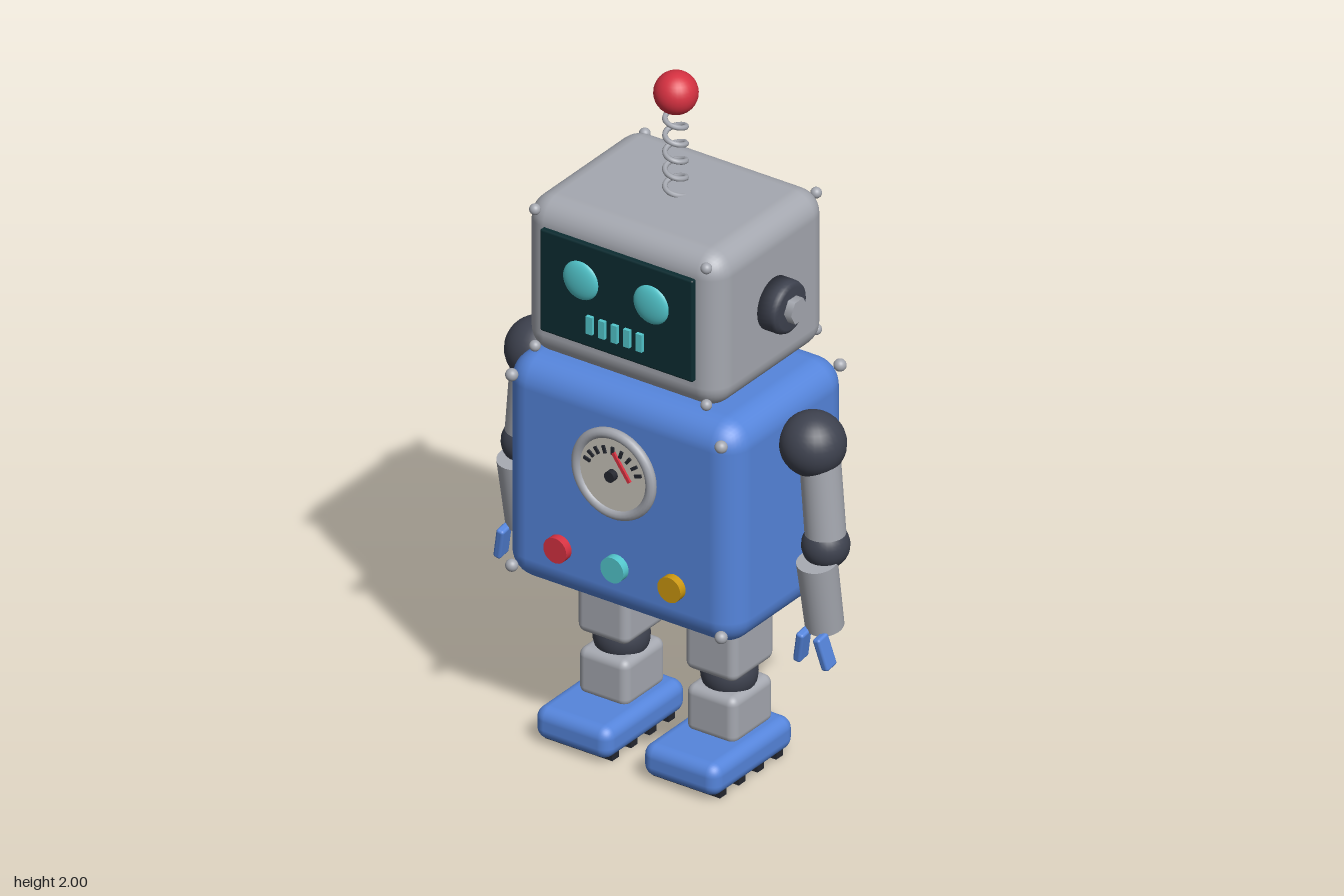
import * as THREE from 'three';
import { RoundedBoxGeometry } from 'three/addons/geometries/RoundedBoxGeometry.js';

const mat = (name, color) => {
  const m = new THREE.MeshStandardMaterial({ color });
  m.name = name;
  return m;
};

export function createModel() {
  const root = new THREE.Group();
  root.name = 'windUpRobot';

  const blue = mat('blue paint', 0x5585dc);
  const grey = mat('light metal', 0xa5a8b0);
  const dark = mat('dark rubber', 0x3e424f);
  const black = mat('near black', 0x24272f);
  const glass = mat('screen glass', 0x0c2c31);
  const cyan = mat('cyan light', 0x52c6cc);
  const red = mat('red', 0xd63141);
  const gold = mat('brass', 0xcb970f);
  const cream = mat('dial face', 0xc9c5bb);

  const CZ = 0.106; // depth of the body axis

  const add = (name, geo, material, x, y, z, parent = root) => {
    const m = new THREE.Mesh(geo, material);
    m.name = name;
    m.position.set(x, y, z);
    parent.add(m);
    return m;
  };
  const rbox = (w, h, d, r) => new RoundedBoxGeometry(w, h, d, 4, r);
  const ball = (r) => new THREE.SphereGeometry(r, 28, 18);
  const disc = (r, h, n = 32) => new THREE.CylinderGeometry(r, r, h, n).rotateX(Math.PI / 2);

  // Body, neck, head
  add('body', rbox(0.75, 0.668, 0.53, 0.08), blue, 0, 0.821, CZ);
  add('neck', new THREE.CylinderGeometry(0.15, 0.15, 0.06, 32), dark, 0, 1.165, CZ);
  add('head', rbox(0.63, 0.465, 0.51, 0.07), grey, 0, 1.4125, CZ);

  // Corner rivets
  for (const sx of [-1, 1]) {
    for (const z of [-0.143, 0.355]) {
      for (const y of [1.205, 1.615]) add('headRivet', ball(0.0155), grey, sx * 0.275, y, z);
    }
    for (const z of [-0.165, 0.374]) {
      for (const y of [0.535, 1.107]) add('bodyRivet', ball(0.0175), grey, sx * 0.336, y, z);
    }
  }

  // Face screen with eyes and mouth bars
  add('screen', rbox(0.49, 0.305, 0.024, 0.006), glass, 0, 1.4225, 0.364);
  for (const sx of [-1, 1]) {
    add('eye', ball(0.057), cyan, sx * 0.113, 1.463, 0.374).scale.z = 0.32;
  }
  for (let i = -2; i <= 2; i++) {
    add('mouthBar', new THREE.BoxGeometry(0.02, 0.052, 0.016), cyan, i * 0.04, 1.342, 0.379);
  }

  // Antenna: spring and ball
  const coil = [];
  for (let i = 0; i <= 100; i++) {
    const t = i / 100, a = t * Math.PI * 10;
    coil.push(new THREE.Vector3(Math.cos(a) * 0.028, 1.64 + t * 0.255, CZ + Math.sin(a) * 0.028));
  }
  const spring = new THREE.TubeGeometry(new THREE.CatmullRomCurve3(coil), 240, 0.0075, 8);
  add('antennaSpring', spring, grey, 0, 0, 0);
  add('antennaBall', ball(0.06), red, 0, 1.94, CZ - 0.002);

  // Dial on the chest
  add('dialFace', disc(0.122, 0.03, 48), cream, 0, 0.923, 0.375);
  add('dialRim', new THREE.TorusGeometry(0.119, 0.015, 12, 48), grey, 0, 0.923, 0.385);
  for (let i = 0; i < 9; i++) {
    const a = Math.PI * (0.1 + 0.1 * i);
    const tick = add('dialTick', new THREE.BoxGeometry(0.022, 0.009, 0.006), black,
      Math.cos(a) * 0.086, 0.923 + Math.sin(a) * 0.072, 0.392);
    tick.rotation.z = a;
  }
  const needle = add('dialNeedle', new THREE.BoxGeometry(0.01, 0.09, 0.007), red, 0.03, 0.955, 0.394);
  needle.rotation.z = 0.62;
  add('dialHub', disc(0.016, 0.02, 20), black, 0, 0.923, 0.398);

  // Chest buttons
  [red, cyan, gold].forEach((m, i) => {
    add('button', disc(0.037, 0.04), m, (i - 1) * 0.183, 0.637, 0.375);
  });

  // Back vents
  for (let i = 0; i < 4; i++) {
    add('backVent', new THREE.BoxGeometry(0.4, 0.02, 0.016), black, 0, 0.76 + i * 0.0717, -0.163);
  }

  // Wind-up key
  add('keyShaft', disc(0.03, 0.19, 24), gold, 0, 0.842, -0.235);
  add('keyKnob', ball(0.035), gold, 0, 0.842, -0.323);
  for (const sx of [-1, 1]) {
    const ring = new THREE.TorusGeometry(0.077, 0.0165, 12, 36).rotateY(Math.PI / 2);
    add('keyRing', ring, gold, sx * 0.092, 0.842, -0.323);
  }

  // Ear, arm and leg on each side
  const earProfile = [[0, 0], [0.075, 0], [0.075, 0.045], [0.071, 0.056], [0.06, 0.062], [0, 0.062]]
    .map(([r, h]) => new THREE.Vector2(r, h));
  for (const s of [-1, 1]) {
    const side = s > 0 ? 'left' : 'right';

    const ear = new THREE.Group();
    ear.name = side + 'Ear';
    ear.position.set(s * 0.312, 1.412, CZ);
    ear.rotation.z = -s * Math.PI / 2;
    root.add(ear);
    add('earCap', new THREE.LatheGeometry(earProfile, 32), dark, 0, 0, 0, ear);
    add('earBolt', new THREE.CylinderGeometry(0.037, 0.037, 0.05, 6), grey, 0, 0.06, 0, ear);

    const arm = new THREE.Group();
    arm.name = side + 'Arm';
    root.add(arm);
    add('shoulder', ball(0.09), dark, s * 0.441, 1.03, CZ, arm);
    const upper = add('upperArm', new THREE.CylinderGeometry(0.055, 0.055, 0.26, 28), grey,
      s * 0.473, 0.875, CZ, arm);
    upper.rotation.z = s * 0.08;
    add('elbow', ball(0.065), dark, s * 0.482, 0.74, CZ, arm);
    const fore = add('forearm', new THREE.CylinderGeometry(0.055, 0.052, 0.21, 28), grey,
      s * 0.481, 0.603, 0.127, arm);
    fore.rotation.x = 0.17;
    for (const f of [-1, 1]) {
      const claw = add('claw', rbox(0.024, 0.098, 0.046, 0.008), blue,
        s * 0.481 + f * 0.036, 0.453, 0.16, arm);
      claw.rotation.set(0.15, 0, f * 0.22);
    }

    const leg = new THREE.Group();
    leg.name = side + 'Leg';
    leg.position.x = s * 0.173;
    root.add(leg);
    add('thigh', rbox(0.165, 0.18, 0.19, 0.025), grey, 0, 0.373, CZ, leg);
    add('knee', ball(0.077), dark, 0, 0.262, CZ, leg);
    add('shin', rbox(0.16, 0.14, 0.185, 0.025), grey, 0, 0.166, CZ, leg);
    add('foot', rbox(0.243, 0.096, 0.365, 0.035), blue, 0, 0.06, 0.158, leg);
    for (let i = 0; i < 4; i++) {
      add('soleTread', new THREE.BoxGeometry(0.215, 0.02, 0.03), black,
        0, 0.01, 0.158 + (i - 1.5) * 0.085, leg);
    }
  }

  return root;
}
